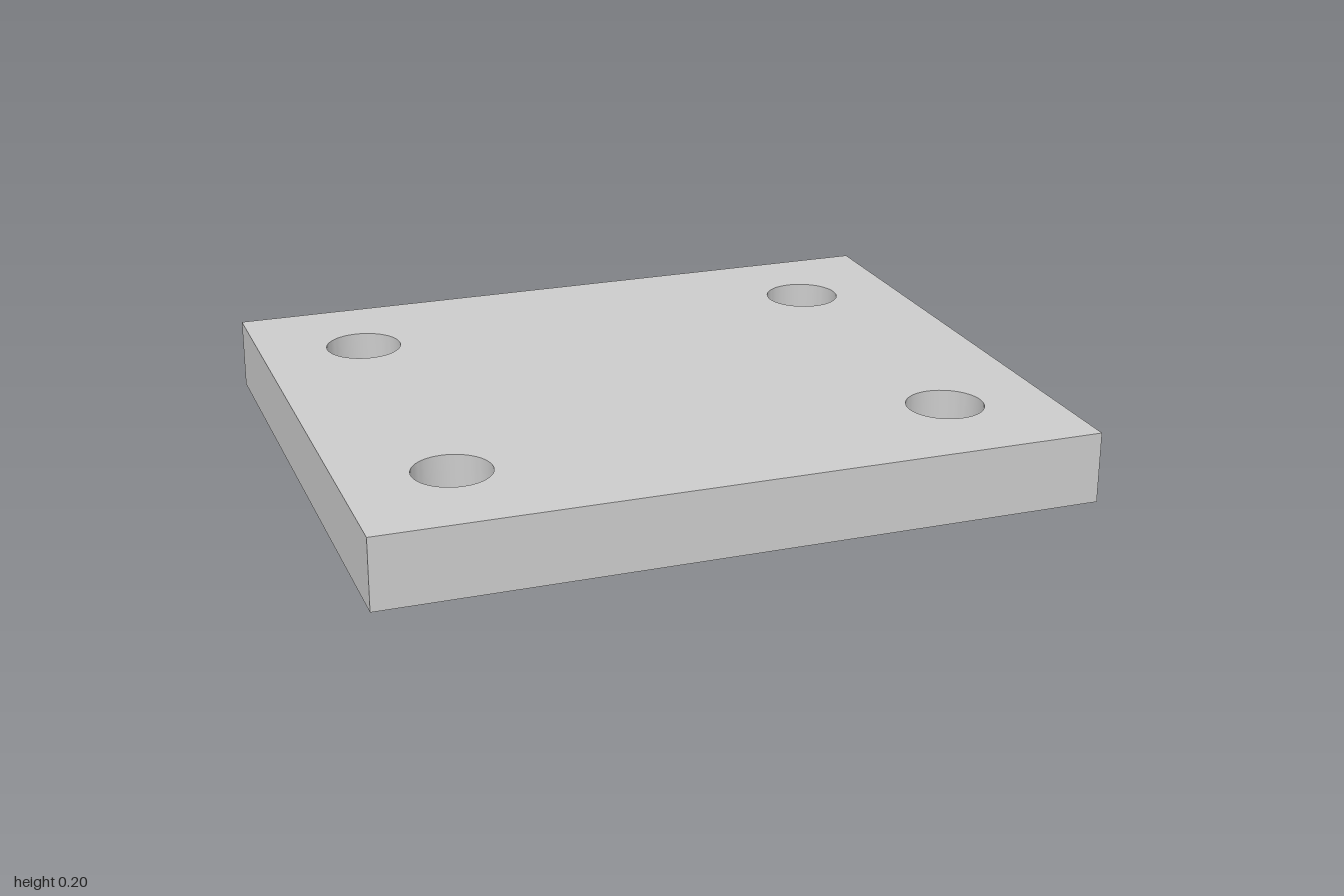
import * as THREE from 'three';
import { toCreasedNormals } from 'three/addons/utils/BufferGeometryUtils.js';

const HALF_WIDTH = 1, HALF_DEPTH = 0.83, THICKNESS = 0.2;
const HOLE_X = 0.7, HOLE_Z = 0.5, HOLE_RADIUS = 0.108;

export function createModel() {
  const group = new THREE.Group();
  group.name = 'mountingPlate';

  // Rectangular plate outline
  const outline = new THREE.Shape([
    new THREE.Vector2(-HALF_WIDTH, -HALF_DEPTH),
    new THREE.Vector2(HALF_WIDTH, -HALF_DEPTH),
    new THREE.Vector2(HALF_WIDTH, HALF_DEPTH),
    new THREE.Vector2(-HALF_WIDTH, HALF_DEPTH),
  ]);

  // Four round through holes, one near each corner
  for (const sx of [-1, 1]) {
    for (const sz of [-1, 1]) {
      const hole = new THREE.Path();
      hole.absarc(sx * HOLE_X, sz * HOLE_Z, HOLE_RADIUS, 0, Math.PI * 2, true);
      outline.holes.push(hole);
    }
  }

  // Extrude upwards from the ground, with smooth hole walls and sharp edges
  const geometry = new THREE.ExtrudeGeometry(outline, {
    depth: THICKNESS, bevelEnabled: false, curveSegments: 32,
  });
  geometry.rotateX(-Math.PI / 2);

  const plate = new THREE.Mesh(
    toCreasedNormals(geometry, Math.PI / 6),
    new THREE.MeshStandardMaterial({ color: 0xcccccc }),
  );
  plate.name = 'plate';
  group.add(plate);
  return group;
}
